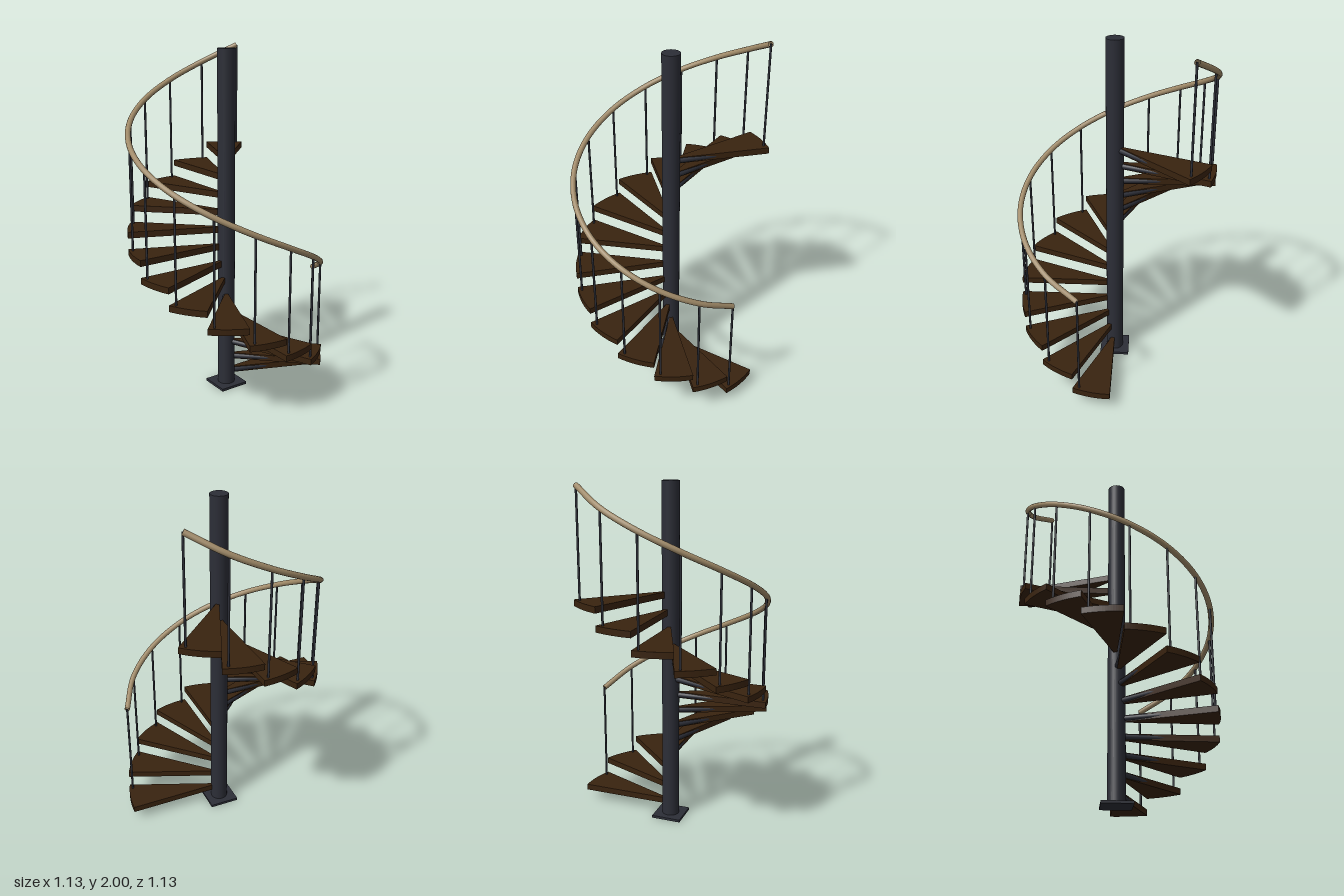
import * as THREE from 'three';

const STEPS = 14;
const SWEEP = Math.PI / 8;      // angle covered by one tread
const RISE = 0.0994;            // height between treads
const FIRST_TOP = 0.1;          // top of the lowest tread
const THICK = 0.036;
const OUTER = 0.567;
const RAIL_RADIUS = 0.546;      // distance of the handrail from the axis
const POST_ANGLE = SWEEP * 0.85;
const POST_HEIGHT = 0.598;

const steel = new THREE.MeshStandardMaterial({ color: 0x2c2e37 });
steel.name = 'dark steel';
const wood = new THREE.MeshStandardMaterial({ color: 0x39230f });
wood.name = 'dark wood';
const railWood = new THREE.MeshStandardMaterial({ color: 0xa08a68, side: THREE.DoubleSide });
railWood.name = 'pale rail wood';

function part(name, geometry, material, parent, x = 0, y = 0, z = 0) {
  const mesh = new THREE.Mesh(geometry, material);
  mesh.name = name;
  mesh.position.set(x, y, z);
  parent.add(mesh);
  return mesh;
}

// Wedge tread from angle 0 to SWEEP, its top at y = 0
function treadGeometry() {
  const inner = 0.03;
  const shape = new THREE.Shape();
  shape.moveTo(inner, 0);
  shape.lineTo(OUTER, 0);
  shape.absarc(0, 0, OUTER, 0, SWEEP, false);
  shape.lineTo(inner * Math.cos(SWEEP), inner * Math.sin(SWEEP));
  shape.closePath();
  const geometry = new THREE.ExtrudeGeometry(shape, { depth: THICK, bevelEnabled: false, curveSegments: 8 });
  return geometry.rotateX(Math.PI / 2);
}

export function createModel() {
  const model = new THREE.Group();
  model.name = 'spiralStaircase';

  // Central column on a square foot
  part('centralPole', new THREE.CylinderGeometry(0.05, 0.05, 2, 32), steel, model, 0, 1, 0);
  part('basePlate', new THREE.BoxGeometry(0.175, 0.015, 0.175), steel, model, 0, 0.0075, 0);

  const tread = treadGeometry();
  const post = new THREE.CylinderGeometry(0.0065, 0.0065, POST_HEIGHT, 10);
  const armLength = 0.5;
  const arm = new THREE.CylinderGeometry(0.0155, 0.0155, armLength, 16);
  arm.rotateZ(Math.PI / 2).translate(armLength / 2 + 0.03, 0, 0);
  const railPoints = [];

  // Each step: wedge tread, support arm and baluster
  for (let i = 0; i < STEPS; i++) {
    const step = new THREE.Group();
    step.name = `step${i + 1}`;
    step.position.y = FIRST_TOP + i * RISE;
    step.rotation.y = -i * SWEEP;
    model.add(step);

    part('tread', tread, wood, step);
    part('supportArm', arm, steel, step, 0, -THICK / 2, 0).rotation.y = -POST_ANGLE;
    part('baluster', post, steel, step,
      RAIL_RADIUS * Math.cos(POST_ANGLE), POST_HEIGHT / 2, RAIL_RADIUS * Math.sin(POST_ANGLE));

    const a = i * SWEEP + POST_ANGLE;
    railPoints.push(new THREE.Vector3(
      RAIL_RADIUS * Math.cos(a), step.position.y + POST_HEIGHT, RAIL_RADIUS * Math.sin(a)));
  }

  // Helical handrail through the baluster tops
  const railCurve = new THREE.CatmullRomCurve3(railPoints);
  part('handrail', new THREE.TubeGeometry(railCurve, 140, 0.016, 12, false), railWood, model);

  return model;
}
